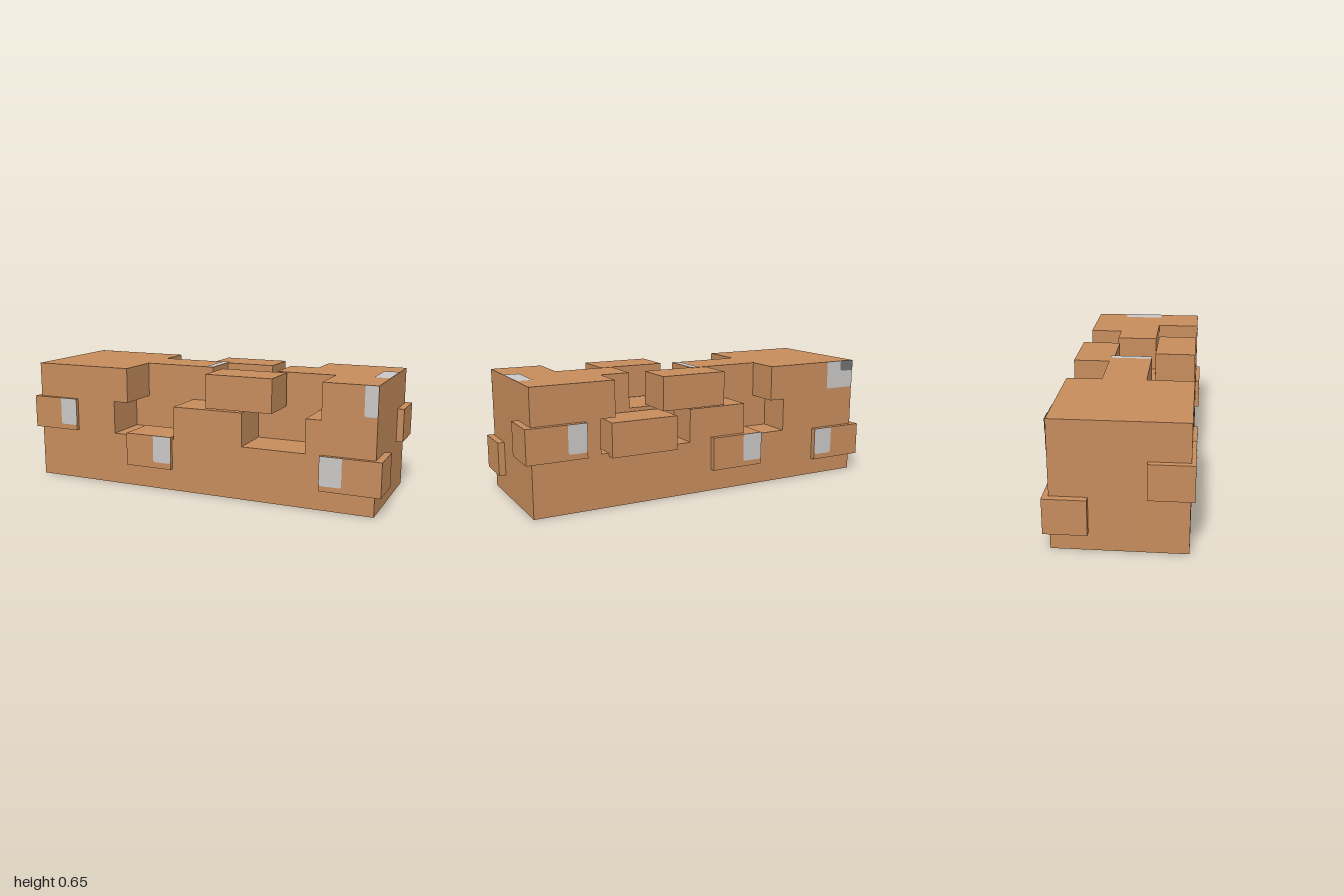
import * as THREE from 'three';

const mat = (name, color) => {
  const m = new THREE.MeshStandardMaterial({ color, side: THREE.DoubleSide });
  m.name = name;
  return m;
};

export function createModel() {
  const group = new THREE.Group();
  const cardboard = mat('cardboard', 0xc68c5c);
  const tape = mat('paleTape', 0xcac8c6);
  const darkTape = mat('darkTape', 0x707274);
  const green = mat('greenUnderside', 0x7cb80c);

  const add = (name, geometry, material) => {
    const mesh = new THREE.Mesh(geometry, material);
    mesh.name = name;
    group.add(mesh);
  };

  // Stepped hollow body: cells between these planes are solid or empty
  const xs = [-0.965, -0.485, -0.4, -0.225, -0.12, 0, 0.108, 0.27, 0.372, 0.53, 0.61, 0.69, 0.965];
  const ys = [0, 0.281, 0.458, 0.645];
  const zs = [-0.31, -0.13, 0.095, 0.335];
  const solid = (i, j, k) => {
    if (i < 0 || j < 0 || k < 0 || i >= xs.length - 1 || j > 2 || k > 2) return false;
    const x = (xs[i] + xs[i + 1]) / 2;
    const within = (a, b) => x > a && x < b;
    if (j === 0) return true;
    if (j === 1) {
      if (k === 2) return !within(-0.485, -0.12) && !within(0.27, 0.61);
      if (k === 0) return !within(-0.485, -0.225) && !within(0.108, 0.61);
      return true;
    }
    if (k === 2) return !within(-0.4, 0.69);
    if (k === 0) return !within(-0.4, 0.53);
    return !within(0, 0.372);
  };
  const shell = [], overhang = [];
  const planes = [xs, ys, zs];
  for (let i = 0; i < xs.length - 1; i++) for (let j = 0; j < 3; j++) for (let k = 0; k < 3; k++) {
    if (!solid(i, j, k)) continue;
    const cell = [i, j, k];
    for (let a = 0; a < 3; a++) for (const s of [1, -1]) {
      const next = cell.slice();
      next[a] += s;
      if (solid(...next) || next[1] < 0) continue; // the base is open
      const b = (a + 1) % 3, c = (a + 2) % 3;
      const corner = (u, v) => {
        const p = [];
        p[a] = planes[a][cell[a] + (s > 0 ? 1 : 0)];
        p[b] = planes[b][cell[b] + u];
        p[c] = planes[c][cell[c] + v];
        return p;
      };
      const q = [corner(0, 0), corner(1, 0), corner(1, 1), corner(0, 1)];
      if (s < 0) q.reverse();
      const out = a === 1 && s < 0 ? overhang : shell;
      for (const n of [0, 1, 2, 0, 2, 3]) out.push(...q[n]);
    }
  }
  const surface = (list) => {
    const g = new THREE.BufferGeometry();
    g.setAttribute('position', new THREE.Float32BufferAttribute(list, 3));
    g.computeVertexNormals();
    return g;
  };
  add('body', surface(shell), cardboard);
  add('overhangUndersides', surface(overhang), green);

  // Smaller cartons, open underneath
  const carton = (name, x0, x1, y0, y1, z0, z1) => {
    const g = new THREE.BoxGeometry(x1 - x0, y1 - y0, z1 - z0);
    g.setIndex([...g.index.array].filter((_, n) => n < 18 || n >= 24));
    g.translate((x0 + x1) / 2, (y0 + y1) / 2, (z0 + z1) / 2);
    add(name, g, cardboard);
  };
  carton('frontRightCarton', -0.995, -0.72, 0.28, 0.457, 0.14, 0.355);
  carton('frontMiddleCarton', -0.4, -0.13, 0.117, 0.295, 0.14, 0.355);
  carton('frontLeftCarton', 0.69, 1, 0.105, 0.283, 0.147, 0.357);
  carton('frontTopCarton', 0.065, 0.43, 0.465, 0.643, 0.11, 0.33);
  carton('backRightCarton', -1, -0.69, 0.092, 0.27, -0.338, -0.13);
  carton('backMiddleCarton', -0.32, -0.02, 0.117, 0.295, -0.34, -0.13);
  carton('backLeftCarton', 0.69, 1, 0.277, 0.453, -0.338, -0.125);
  carton('backInsetCarton', 0.21, 0.57, 0.265, 0.443, -0.357, -0.15);
  carton('backTopCarton', -0.09, 0.27, 0.465, 0.643, -0.322, -0.11);

  // Flat tape with rounded corners, in the plane of its two ranges
  const patch = (x0, x1, y0, y1) => {
    const r = 0.015, s = new THREE.Shape();
    s.moveTo(x0 + r, y0);
    s.lineTo(x1 - r, y0);
    s.quadraticCurveTo(x1, y0, x1, y0 + r);
    s.lineTo(x1, y1);
    s.lineTo(x0, y1);
    s.lineTo(x0, y0 + r);
    s.quadraticCurveTo(x0, y0, x0 + r, y0);
    return new THREE.ShapeGeometry(s, 4);
  };
  const front = (x0, x1, y0, y1, z) => add('frontTape', patch(x0, x1, y0, y1).translate(0, 0, z + 0.002), tape);
  const back = (x0, x1, y0, y1, z, m = tape) =>
    add('backTape', patch(-x1, -x0, y0, y1).rotateY(Math.PI).translate(0, 0, z - 0.002), m);
  const top = (x0, x1, z0, z1, y) =>
    add('topTape', patch(x0, x1, -z1, -z0).rotateX(-Math.PI / 2).translate(0, y + 0.002, 0), tape);

  front(-0.82, -0.72, 0.31, 0.457, 0.355);
  front(-0.235, -0.13, 0.15, 0.295, 0.355);
  front(0.69, 0.805, 0.133, 0.283, 0.357);
  front(0.9, 0.965, 0.492, 0.645, 0.335);
  back(-0.805, -0.69, 0.122, 0.27, -0.338);
  back(-0.32, -0.205, 0.147, 0.295, -0.34);
  back(0.69, 0.79, 0.307, 0.453, -0.338);
  back(-0.965, -0.785, 0.492, 0.645, -0.31);
  back(-0.965, -0.878, 0.588, 0.645, -0.312, darkTape);
  top(0.885, 0.965, -0.13, 0.097, 0.645);
  top(-0.04, 0, -0.13, 0.095, 0.645);
  top(0, 0.08, -0.09, 0.095, 0.458);

  return group;
}
